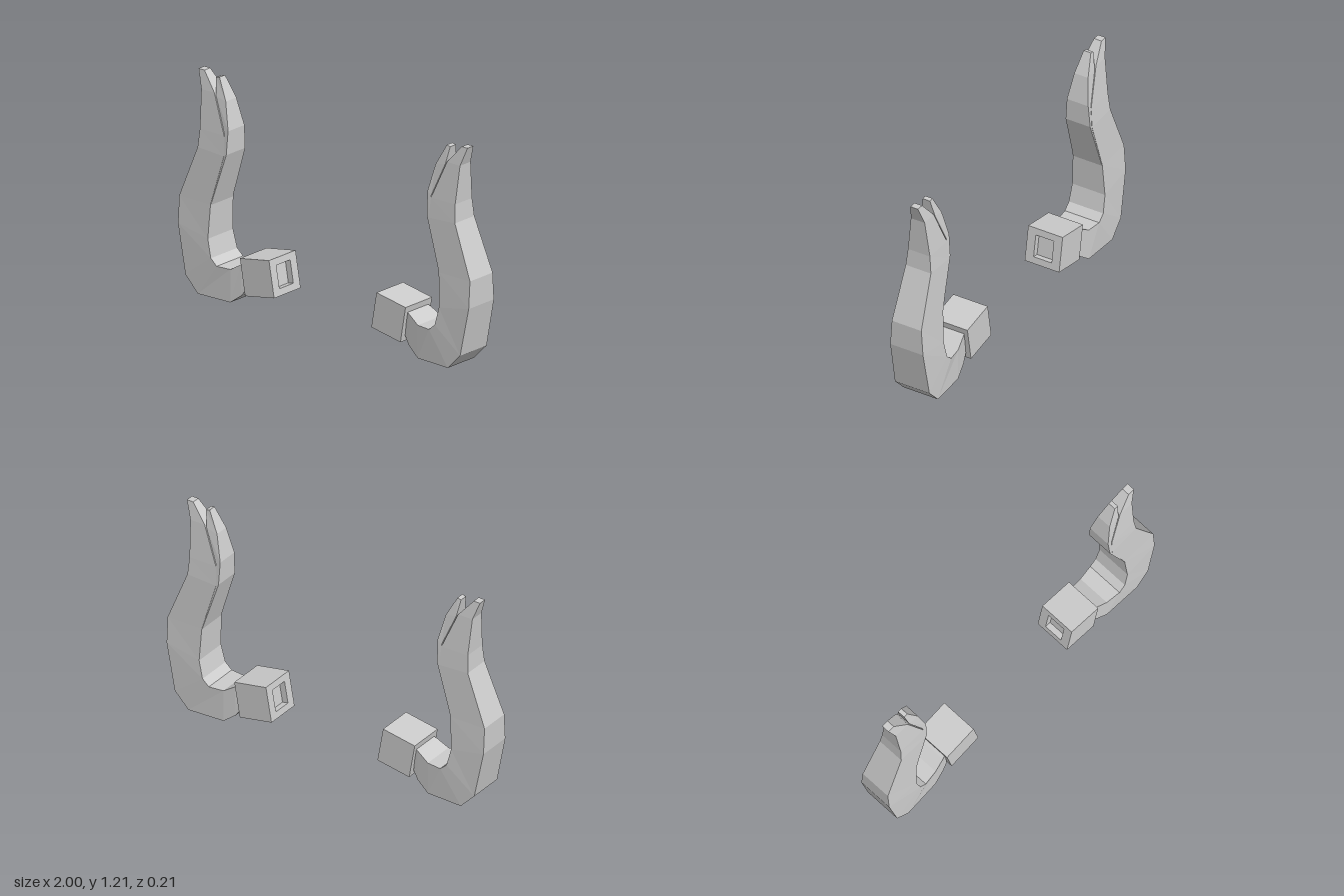
import * as THREE from 'three';

const material = new THREE.MeshStandardMaterial({ color: 0xcccccc, flatShading: true });

// Rectangular loft; each section is [outerX, outerY, innerX, innerY, halfDepth]
function loft(name, sections) {
  const pos = [], idx = [];
  for (const [ox, oy, ix, iy, h] of sections) {
    pos.push(ox, oy, h, ix, iy, h, ix, iy, -h, ox, oy, -h);
  }
  const last = (sections.length - 1) * 4;
  for (let j = 0; j < last; j += 4) {
    for (let k = 0; k < 4; k++) {
      const a = j + k, d = j + (k + 1) % 4;
      idx.push(a, a + 4, d + 4, a, d + 4, d);
    }
  }
  idx.push(0, 1, 2, 0, 2, 3);
  idx.push(last, last + 2, last + 1, last, last + 3, last + 2);
  const indexed = new THREE.BufferGeometry();
  indexed.setAttribute('position', new THREE.Float32BufferAttribute(pos, 3));
  indexed.setIndex(idx);
  const geometry = indexed.toNonIndexed();
  geometry.computeVertexNormals();
  const mesh = new THREE.Mesh(geometry, material);
  mesh.name = name;
  return mesh;
}

// Mounting block with a shallow rectangular socket in its inner face
function makeBlock() {
  const block = new THREE.Group();
  block.name = 'mountingBlock';
  const size = 0.203, depth = 0.21, socket = 0.035;

  const body = new THREE.Mesh(new THREE.BoxGeometry(size - socket, size, depth), material);
  body.name = 'blockBody';
  body.position.x = socket / 2;

  const rect = (path, w, h) => path.moveTo(-w, -h).lineTo(w, -h).lineTo(w, h).lineTo(-w, h).closePath();
  const shape = new THREE.Shape();
  rect(shape, depth / 2, size / 2);
  const hole = new THREE.Path();
  rect(hole, 0.055, 0.063);
  shape.holes.push(hole);
  const rim = new THREE.Mesh(
    new THREE.ExtrudeGeometry(shape, { depth: socket, bevelEnabled: false }), material);
  rim.name = 'socketRim';
  rim.rotation.y = -Math.PI / 2;
  rim.position.x = -size / 2 + socket;

  block.add(body, rim);
  block.position.set(0.452, 0.185, 0);
  block.rotation.z = -0.175;
  return block;
}

function makeHorn(name) {
  const horn = new THREE.Group();
  horn.name = name;
  horn.add(
    makeBlock(),
    // Curved stem rising into the outer prong
    loft('hornStem', [
      [0.545, 0.1, 0.56, 0.235, 0.08],
      [0.575, 0.055, 0.58, 0.225, 0.085],
      [0.645, 0.003, 0.645, 0.185, 0.095],
      [0.86, 0.003, 0.73, 0.185, 0.105],
      [0.945, 0.09, 0.77, 0.22, 0.105],
      [1, 0.36, 0.795, 0.32, 0.1],
      [1, 0.51, 0.785, 0.51, 0.09],
      [0.885, 0.8, 0.705, 0.79, 0.077],
      [0.878, 0.9, 0.712, 0.9, 0.067],
      [0.89, 1.11, 0.8, 1.11, 0.042],
      [0.925, 1.21, 0.885, 1.21, 0.023],
    ]),
    // Slim prong lying along the inner side
    loft('innerProng', [
      [0.8, 0.5, 0.787, 0.5, 0.088],
      [0.715, 0.79, 0.69, 0.8, 0.075],
      [0.711, 0.91, 0.686, 0.93, 0.065],
      [0.788, 1.095, 0.722, 1.08, 0.042],
      [0.805, 1.19, 0.782, 1.195, 0.022],
    ]),
  );
  return horn;
}

export function createModel() {
  const model = new THREE.Group();
  model.name = 'hornPair';
  const left = makeHorn('leftHorn');
  const right = makeHorn('rightHorn');
  right.rotation.y = Math.PI; // front-back symmetric, so a half turn mirrors it
  model.add(left, right);
  return model;
}
